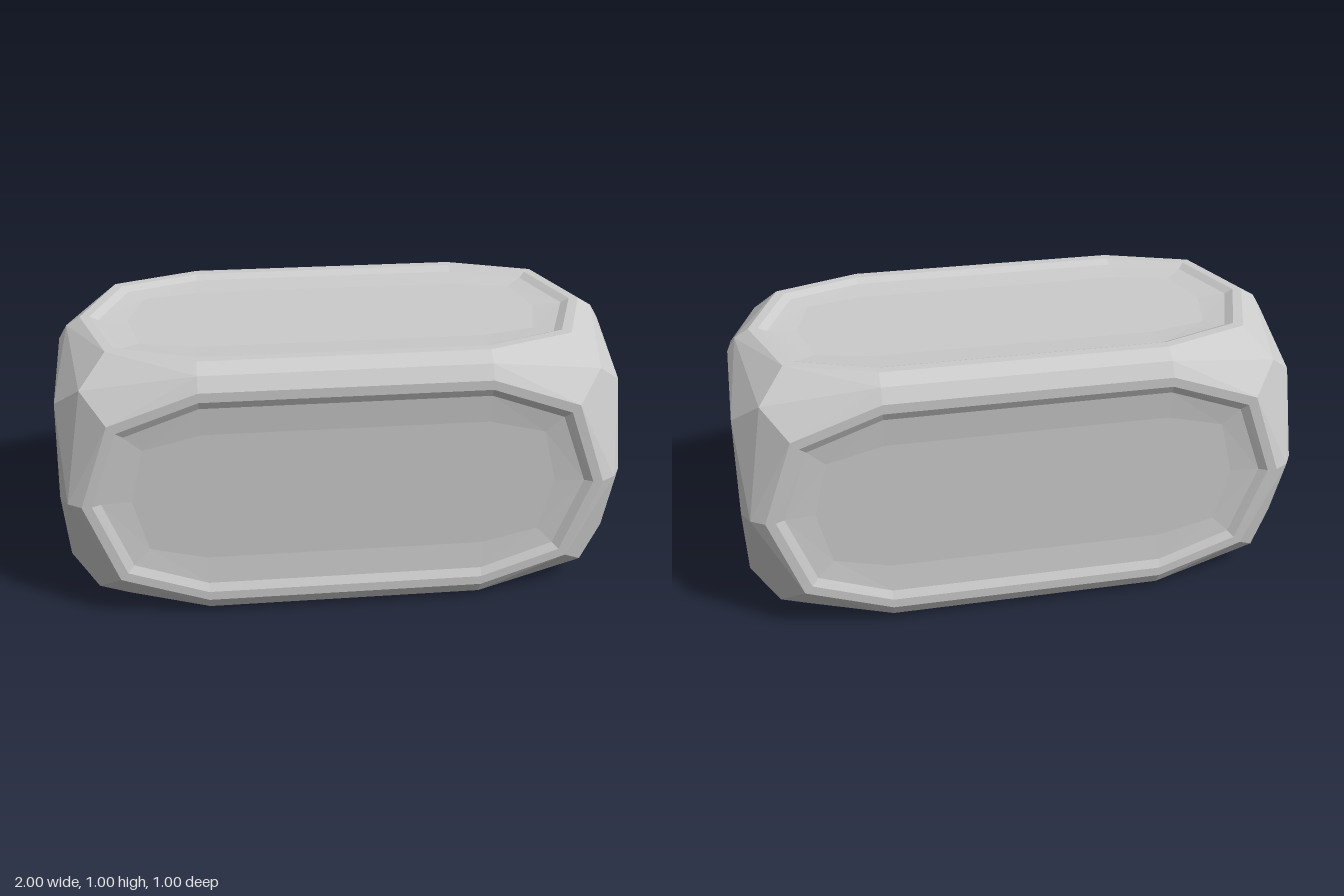
import * as THREE from 'three';

// Ten points round a face: two half octagons pulled apart along u by stretch.
const HALF = ['mid-', 'diag-', 'side', 'diag+', 'mid+'];
function ring(face, { mid, diag, wMid, wDiag }) {
  const points = [];
  for (const s of [1, -1]) {
    for (const kind of HALF) {
      const isDiag = kind.startsWith('diag');
      const up = (kind.endsWith('-') ? -1 : 1) * s;
      const u = kind === 'side' ? mid : isDiag ? diag : 0;
      const v = kind === 'side' ? 0 : (isDiag ? diag : mid) * up;
      const p = new THREE.Vector3()
        .addScaledVector(face.u, s * (u + face.stretch))
        .addScaledVector(face.v, v)
        .addScaledVector(face.n, (isDiag ? wDiag : wMid) + face.offset);
      p.y += 0.5;
      p.isDiag = isDiag;
      points.push(p);
    }
  }
  return points;
}

function addTriangle(out, a, b, c) {
  if (a.distanceTo(b) < 1e-5 || b.distanceTo(c) < 1e-5 || c.distanceTo(a) < 1e-5) return;
  for (const p of [a, b, c]) out.push(p.x, p.y, p.z);
}

function loft(out, a, b) {
  for (let i = 0; i < a.length; i++) {
    const j = (i + 1) % a.length;
    if (a[i].isDiag) {
      addTriangle(out, a[i], a[j], b[i]);
      addTriangle(out, a[j], b[j], b[i]);
    } else {
      addTriangle(out, a[i], a[j], b[j]);
      addTriangle(out, a[i], b[j], b[i]);
    }
  }
}

function cap(out, a) {
  const centre = a.reduce((sum, p) => sum.add(p), new THREE.Vector3()).divideScalar(a.length);
  a.forEach((p, i) => addTriangle(out, p, a[(i + 1) % a.length], centre));
}

function makeMesh(name, positions, material) {
  const geometry = new THREE.BufferGeometry();
  geometry.setAttribute('position', new THREE.Float32BufferAttribute(positions, 3));
  geometry.computeVertexNormals();
  const mesh = new THREE.Mesh(geometry, material);
  mesh.name = name;
  return mesh;
}

// Octagon sizes and heights, from the chamfered block edge in to the dished floor
const level = (mid, diag, wMid, wDiag = wMid) => ({ mid, diag, wMid, wDiag });
const EDGE = level(0.47, 0.4, 0.47, 0.4);
const RIM = level(0.42, 0.31, 0.5);
const PANEL = [RIM, level(0.385, 0.283, 0.5), level(0.355, 0.26, 0.485), level(0.25, 0.2, 0.476)];

export function createModel() {
  const model = new THREE.Group();
  model.name = 'panelledBlock';
  const material = new THREE.MeshStandardMaterial({ color: 0xcccccc, flatShading: true });

  const faces = [
    ['front', 0, 0, 1], ['back', 0, 0, -1], ['top', 0, 1, 0],
    ['bottom', 0, -1, 0], ['left', 1, 0, 0], ['right', -1, 0, 0],
  ];
  for (const [name, x, y, z] of faces) {
    const isEnd = x !== 0;
    const n = new THREE.Vector3(x, y, z);
    const u = isEnd ? new THREE.Vector3(0, 1, 0) : new THREE.Vector3(1, 0, 0);
    const v = new THREE.Vector3().crossVectors(n, u);
    const face = { n, u, v, stretch: isEnd ? 0 : 0.5, offset: isEnd ? 0.5 : 0 };

    // Bevelled frame around the face
    const frame = [];
    loft(frame, ring(face, EDGE), ring(face, RIM));
    model.add(makeMesh(name + 'Frame', frame, material));

    // Recessed panel: flat lip, step and shallow dish
    const panel = [];
    const rings = PANEL.map((l) => ring(face, l));
    for (let i = 0; i < rings.length - 1; i++) loft(panel, rings[i], rings[i + 1]);
    cap(panel, rings[rings.length - 1]);
    model.add(makeMesh(name + 'Panel', panel, material));
  }
  return model;
}
